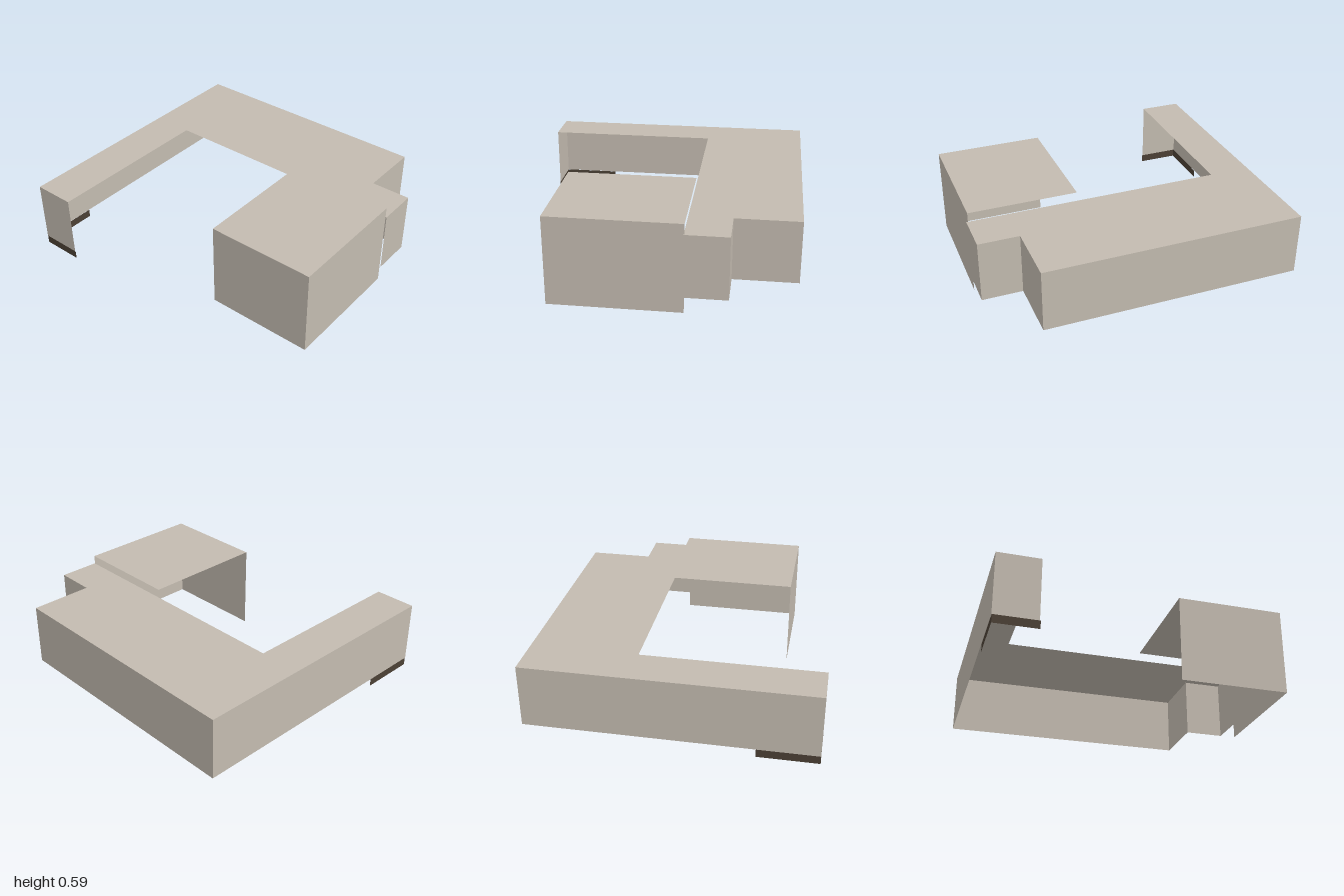
import * as THREE from 'three';

const stone = new THREE.MeshStandardMaterial({ color: 0xc3bbb0, side: THREE.DoubleSide });
stone.name = 'warm grey stone';
const dark = new THREE.MeshStandardMaterial({ color: 0x4b4035, side: THREE.DoubleSide });
dark.name = 'dark brown';

// Upright panels along a chain of [x, z] points, facing outwards
function walls(name, points, y0, y1, material) {
  const group = new THREE.Group();
  group.name = name;
  for (let i = 0; i < points.length - 1; i++) {
    const [ax, az] = points[i];
    const [bx, bz] = points[i + 1];
    const panel = new THREE.Mesh(
      new THREE.PlaneGeometry(Math.hypot(bx - ax, bz - az), y1 - y0), material);
    panel.name = name + 'Panel';
    panel.position.set((ax + bx) / 2, (y0 + y1) / 2, (az + bz) / 2);
    panel.rotation.y = Math.atan2(az - bz, bx - ax);
    group.add(panel);
  }
  return group;
}

// Flat roof from an outline of [x, z] points
function roof(name, points, y) {
  const shape = new THREE.Shape(points.map(([x, z]) => new THREE.Vector2(x, -z)));
  const mesh = new THREE.Mesh(new THREE.ShapeGeometry(shape).rotateX(-Math.PI / 2), stone);
  mesh.name = name;
  mesh.position.y = y;
  return mesh;
}

export function createModel() {
  const model = new THREE.Group();
  model.name = 'building';

  // Main wing with a long side arm: outer walls only, open towards the court
  const outer = [[0.995, -0.235], [0.995, -0.51], [0.725, -0.51], [0.725, -0.93],
    [-1, -0.93], [-1, 0.93], [-0.72, 0.93]];
  model.add(walls('mainWall', outer, 0.11, 0.525, stone));
  model.add(roof('mainRoof', [...outer, [-0.72, -0.235]], 0.525));

  // Taller block: front and left walls under a flat roof
  const block = [[0.26, 0.615], [0.985, 0.615], [0.985, -0.24]];
  model.add(walls('blockWall', block, 0, 0.59, stone));
  model.add(roof('blockRoof', [...block, [0.26, -0.24]], 0.59));

  // Dark plinth under the end of the side arm
  model.add(walls('plinth', [[-0.998, 0.54], [-0.998, 0.93], [-0.715, 0.93]], 0.055, 0.11, dark));

  return model;
}
